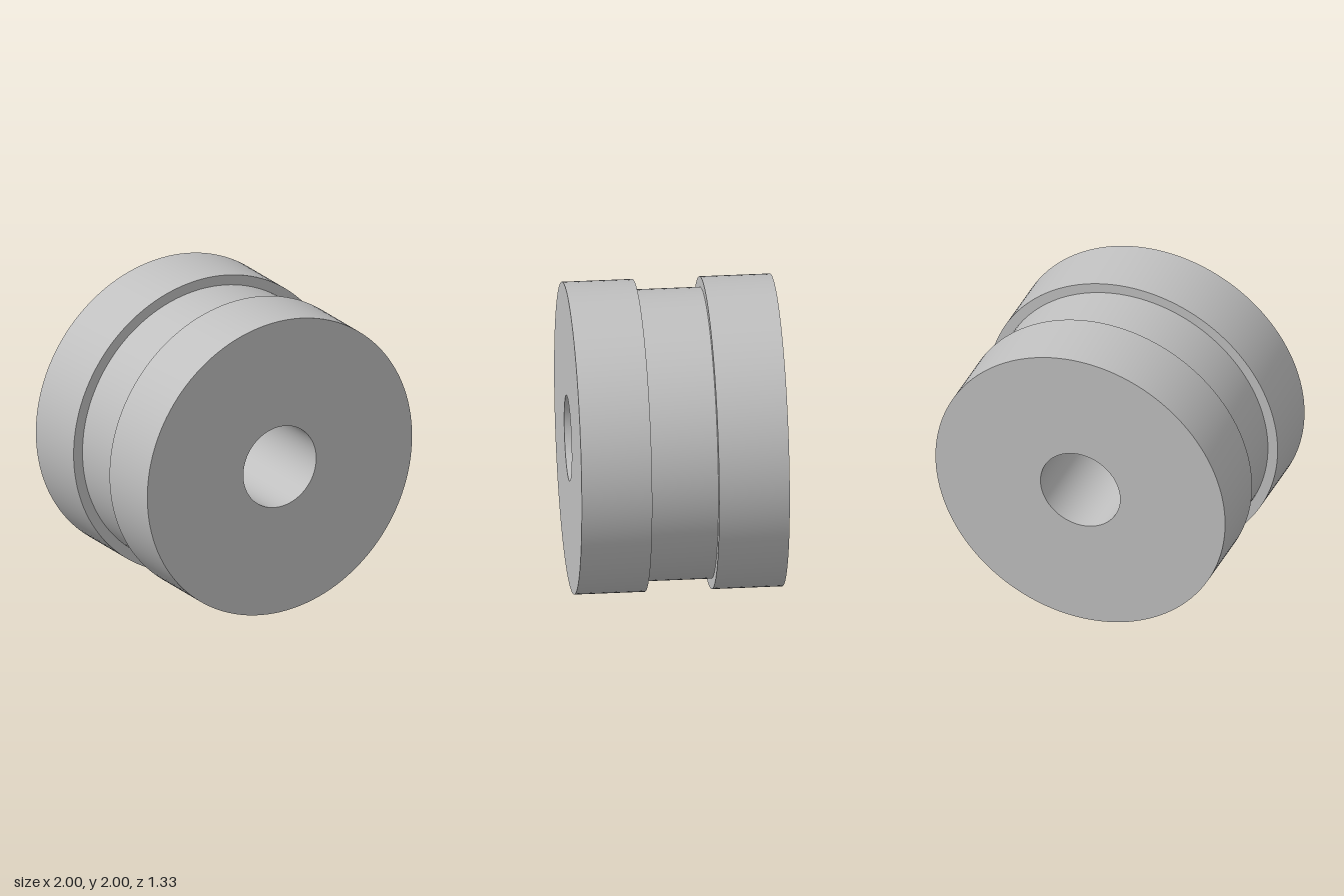
import * as THREE from 'three';
import { toCreasedNormals } from 'three/addons/utils/BufferGeometryUtils.js';

export function createModel() {
  const rimRadius = 1, grooveRadius = 0.933, boreRadius = 0.275;
  const halfWidth = 0.667, halfGroove = 0.215;
  const grey = new THREE.MeshStandardMaterial({ color: 0xc0c0c0 });
  grey.name = 'plain grey';

  // Closed section: outer wall with its groove, end faces and through bore
  const section = [
    [boreRadius, -halfWidth],
    [rimRadius, -halfWidth],
    [rimRadius, -halfGroove],
    [grooveRadius, -halfGroove],
    [grooveRadius, halfGroove],
    [rimRadius, halfGroove],
    [rimRadius, halfWidth],
    [boreRadius, halfWidth],
    [boreRadius, -halfWidth],
  ].map(([r, y]) => new THREE.Vector2(r, y));

  // Spin the section, keep its edges sharp, and lay the axis along z
  const geometry = toCreasedNormals(new THREE.LatheGeometry(section, 128), Math.PI / 6);
  geometry.rotateX(Math.PI / 2);

  const bushing = new THREE.Mesh(geometry, grey);
  bushing.name = 'groovedBushing';
  bushing.position.y = rimRadius;

  const model = new THREE.Group();
  model.name = 'bushing';
  model.add(bushing);
  return model;
}
